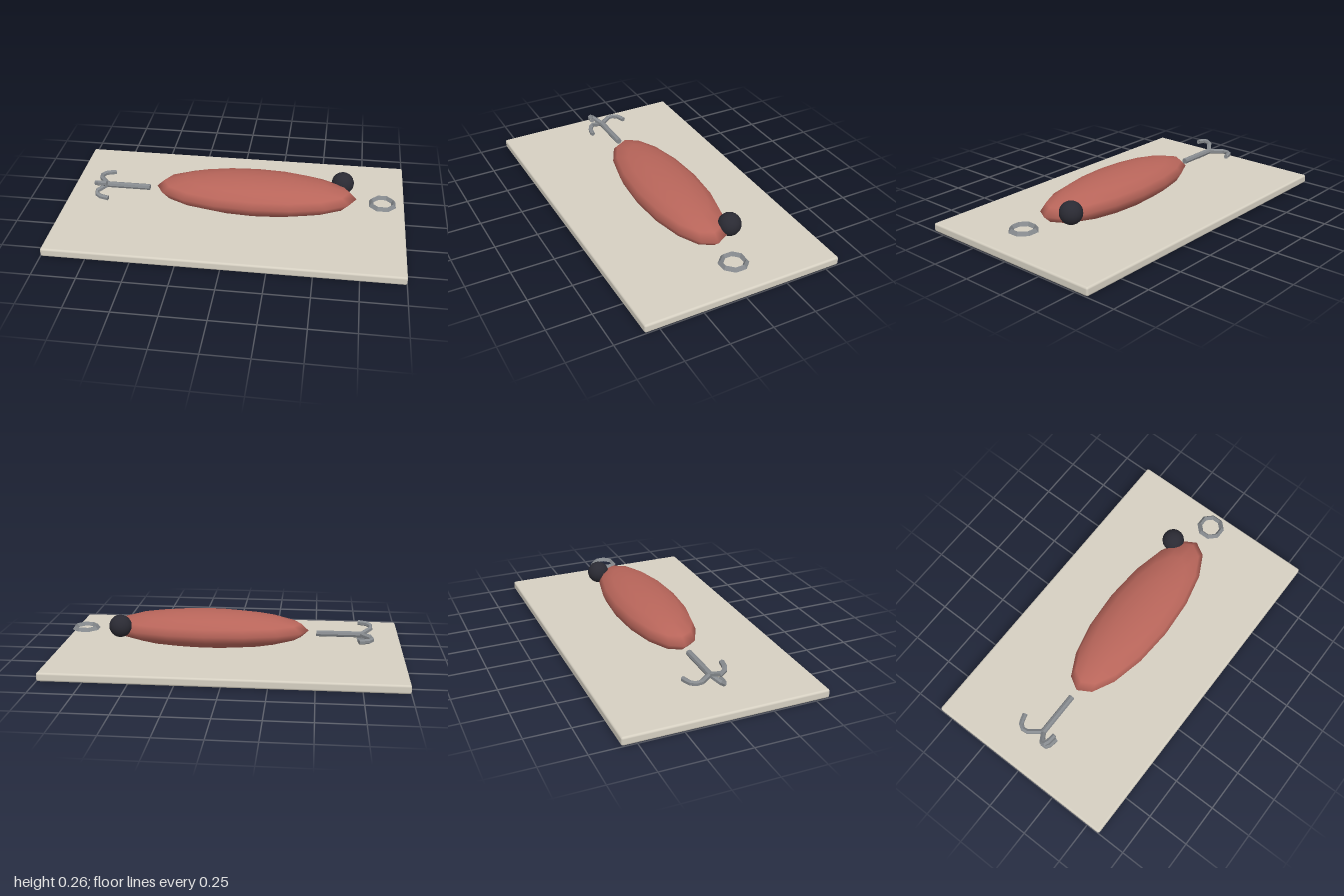
import * as THREE from 'three';
import { RoundedBoxGeometry } from 'three/addons/geometries/RoundedBoxGeometry.js';

function material(name, color) {
  const m = new THREE.MeshStandardMaterial({ color });
  m.name = name;
  return m;
}

export function createModel() {
  const model = new THREE.Group();
  model.name = 'fishingLure';
  const board = material('pale board', 0xd6d0c2);
  const red = material('dull red', 0xb8655a);
  const black = material('dark eye', 0x2a2a33);
  const metal = material('grey metal', 0x868a8e);
  metal.flatShading = true;

  function add(name, geometry, mat, x = 0, y = 0, z = 0, parent = model) {
    const mesh = new THREE.Mesh(geometry, mat);
    mesh.name = name;
    mesh.position.set(x, y, z);
    parent.add(mesh);
    return mesh;
  }

  // Flat display board with softened edges
  add('board', new RoundedBoxGeometry(2, 0.05, 1.164, 2, 0.012), board, 0, 0.025, 0);

  // Elongated lure body and its single eye
  add('body', new THREE.SphereGeometry(1, 16, 8).scale(0.585, 0.107, 0.2), red, 0.13, 0.155, 0);
  add('eye', new THREE.SphereGeometry(0.065, 20, 14), black, 0.63, 0.187, -0.117);

  // Eight-sided line ring with a triangular section
  const section = [[0.053, -0.01], [0.083, -0.01], [0.067, 0.011], [0.053, -0.01]]
    .map(([r, y]) => new THREE.Vector2(r, y));
  add('lineRing', new THREE.LatheGeometry(section, 8, Math.PI / 8), metal, 0.863, 0.141, 0);

  // Treble hook: a shank and three curved prongs
  const hook = new THREE.Group();
  hook.name = 'trebleHook';
  hook.position.y = 0.14;
  model.add(hook);
  add('shank', new THREE.CylinderGeometry(0.018, 0.018, 0.265, 8).rotateZ(Math.PI / 2),
    metal, -0.632, 0, 0, hook);

  const prongPath = [[-0.755, 0], [-0.785, 0.04], [-0.815, 0.085], [-0.8, 0.125], [-0.74, 0.147]];
  for (let i = 0; i < 3; i++) {
    const angle = (i * Math.PI * 2) / 3;
    const curve = new THREE.CatmullRomCurve3(prongPath.map(([x, r]) =>
      new THREE.Vector3(x, r * Math.sin(angle) * 0.4, -r * Math.cos(angle))));
    add('prong', new THREE.TubeGeometry(curve, 7, 0.015, 6), metal, 0, 0, 0, hook);

    // Close the prong tip
    const tip = curve.getPointAt(1);
    const cap = add('prongTip', new THREE.CircleGeometry(0.015, 6), metal, tip.x, tip.y, tip.z, hook);
    cap.quaternion.setFromUnitVectors(new THREE.Vector3(0, 0, 1), curve.getTangentAt(1));
  }
  return model;
}
